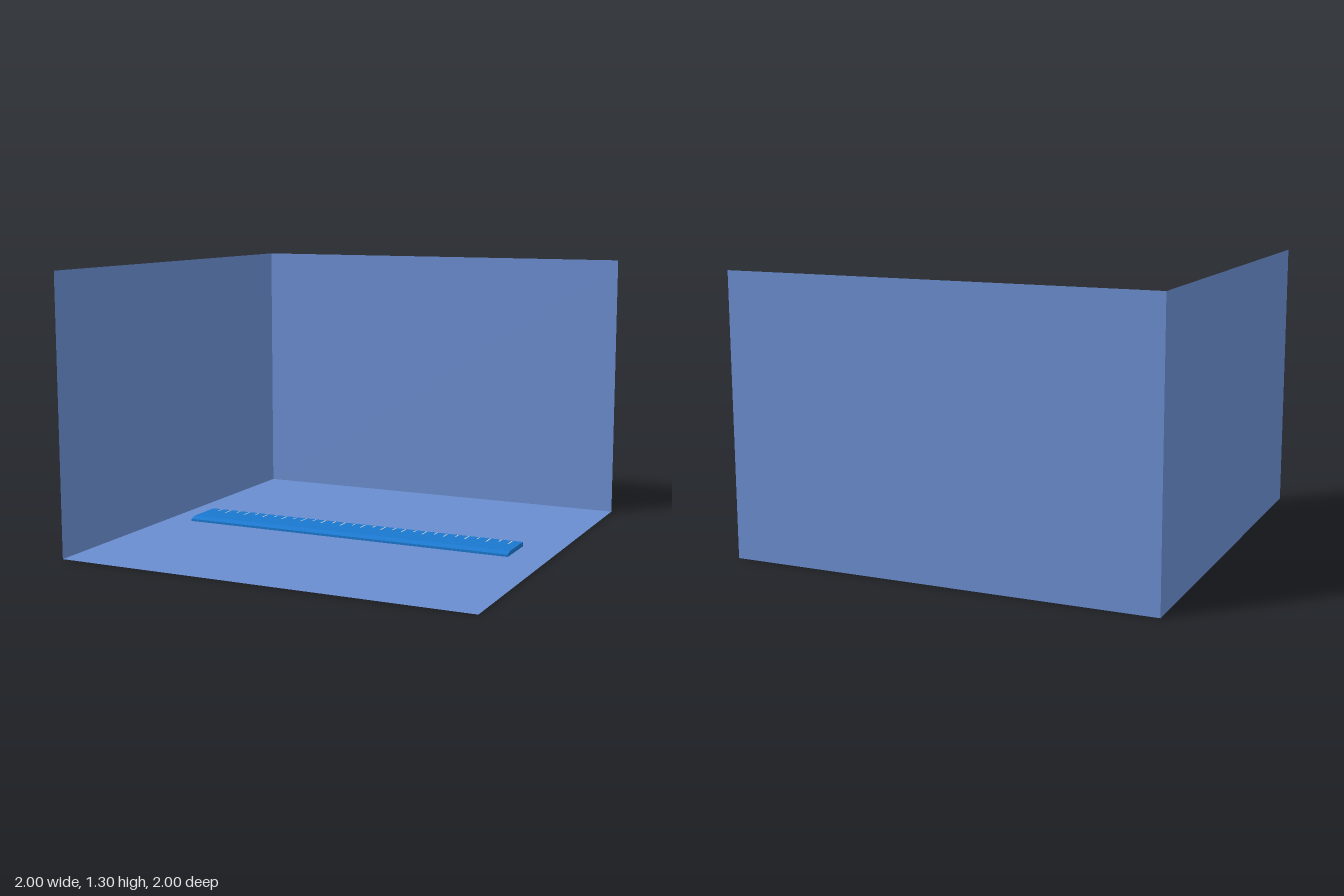
import * as THREE from 'three';

const WALL_H = 1.305;
const RULER_TOP = 0.022;

function addMesh(parent, name, geometry, material) {
  const mesh = new THREE.Mesh(geometry, material);
  mesh.name = name;
  parent.add(mesh);
  return mesh;
}

export function createModel() {
  const model = new THREE.Group();
  model.name = 'rulerInRoomCorner';

  const roomMat = new THREE.MeshStandardMaterial({ color: 0x6a8dd0, side: THREE.DoubleSide });
  const rulerMat = new THREE.MeshStandardMaterial({ color: 0x1a78d0, flatShading: true });
  const markMat = new THREE.MeshStandardMaterial({ color: 0xcccccc });

  // Floor and two thin walls; the floor sits just above the ruler's underside
  const floor = addMesh(model, 'floor', new THREE.PlaneGeometry(2, 2), roomMat);
  floor.rotation.x = -Math.PI / 2;
  floor.position.y = 0.001;

  const wall = new THREE.PlaneGeometry(2, WALL_H);
  addMesh(model, 'backWall', wall, roomMat).position.set(0, WALL_H / 2, -1);
  const sideWall = addMesh(model, 'sideWall', wall, roomMat);
  sideWall.rotation.y = Math.PI / 2;
  sideWall.position.set(-1, WALL_H / 2, 0);

  // Ruler: cross-section with a bevelled front edge, extruded along x
  const ruler = new THREE.Group();
  ruler.name = 'ruler';
  model.add(ruler);

  const section = new THREE.Shape([
    [0.11, 0], [0.11, RULER_TOP], [-0.075, RULER_TOP], [-0.108, 0.012], [-0.108, 0],
  ].map(([z, y]) => new THREE.Vector2(z, y)));
  const body = new THREE.ExtrudeGeometry(section, { depth: 1.684, bevelEnabled: false });
  body.rotateY(Math.PI / 2); // section x becomes -z, depth becomes x
  addMesh(ruler, 'rulerBody', body, rulerMat).position.x = -0.87;

  // Scale marks: long on whole units, short on halves
  const spacing = 0.1089;
  for (let i = 1; i <= 30; i++) {
    const isLong = i % 2 === 0;
    const length = isLong ? 0.06 : 0.037;
    const mark = addMesh(ruler, isLong ? 'longMark' : 'shortMark',
      new THREE.BoxGeometry(0.006, 0.001, length), markMat);
    mark.position.set(-0.87 + i * spacing / 2, RULER_TOP + 0.0003, -0.105 + length / 2);
  }

  return model;
}
